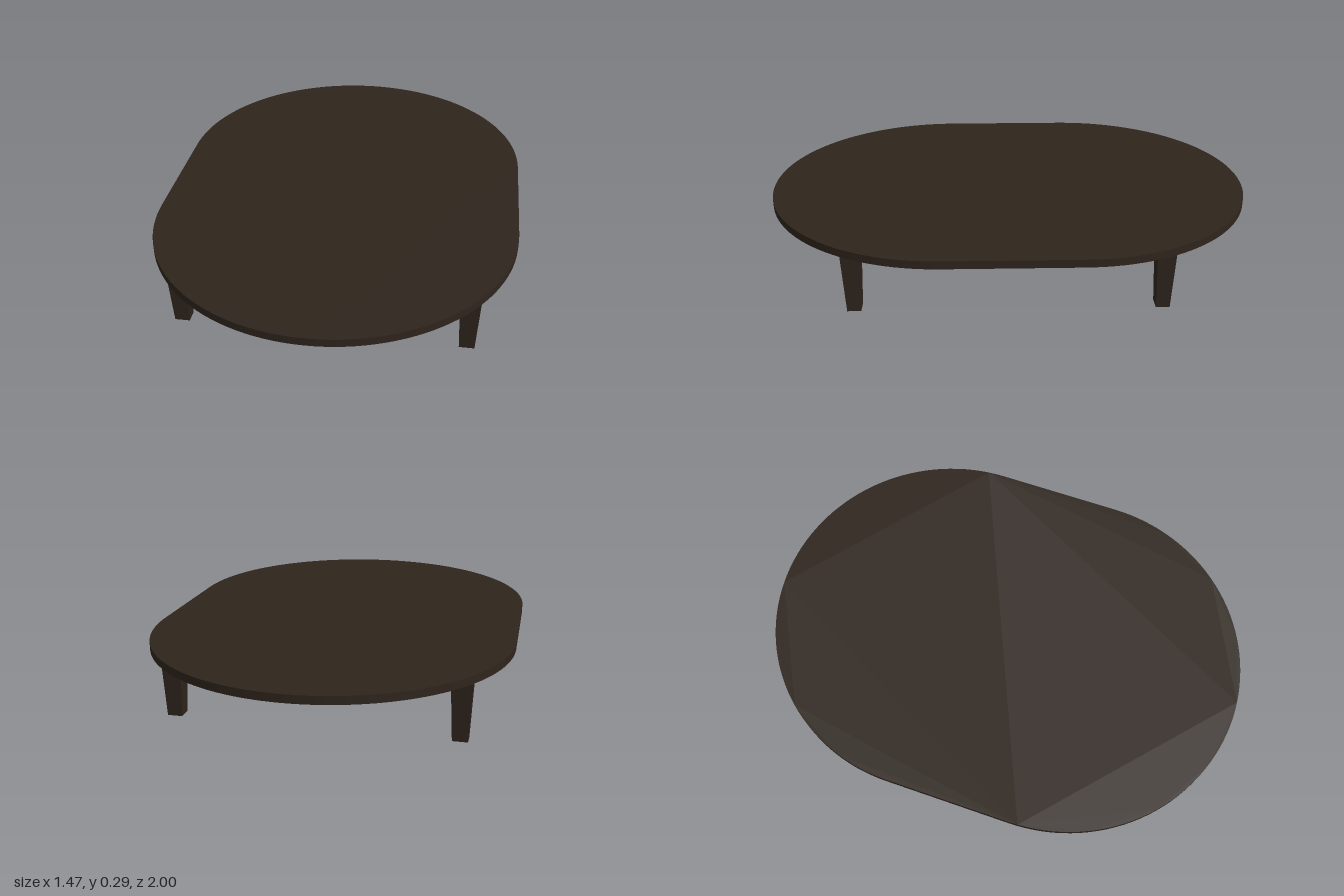
import * as THREE from 'three';

const wood = new THREE.MeshStandardMaterial({ color: 0x2e241c });

const HALF_WIDTH = 0.737, HALF_LENGTH = 1;
const TOP_Y = 0.29, THICKNESS = 0.032;
const UNDERSIDE = TOP_Y - THICKNESS;

// Flat slab with straight sides and a half-round at each end
function createTabletop() {
  const end = HALF_LENGTH - HALF_WIDTH;
  const outline = new THREE.Shape();
  outline.absarc(0, end, HALF_WIDTH, 0, Math.PI, false);
  outline.absarc(0, -end, HALF_WIDTH, Math.PI, Math.PI * 2, false);
  outline.closePath();
  const geometry = new THREE.ExtrudeGeometry(outline, {
    depth: THICKNESS, bevelEnabled: false, curveSegments: 32,
  });
  geometry.rotateX(-Math.PI / 2).translate(0, UNDERSIDE, 0);
  const top = new THREE.Mesh(geometry, wood);
  top.name = 'tabletop';
  return top;
}

// Rectangular leg narrowing evenly towards the floor
function createLegGeometry() {
  const taper = 0.72;
  const geometry = new THREE.BoxGeometry(0.083, UNDERSIDE, 0.075);
  geometry.translate(0, UNDERSIDE / 2, 0);
  const p = geometry.attributes.position;
  for (let i = 0; i < p.count; i++) {
    if (p.getY(i) < 0.01) {
      p.setX(i, p.getX(i) * taper);
      p.setZ(i, p.getZ(i) * taper);
    }
  }
  geometry.computeVertexNormals();
  return geometry;
}

export function createModel() {
  const table = new THREE.Group();
  table.name = 'lowTable';
  table.add(createTabletop());

  // Four legs, the rear pair set slightly further in
  const legGeometry = createLegGeometry();
  for (const [row, z] of [['front', 0.611], ['back', -0.586]]) {
    for (const [side, x] of [['Left', 0.563], ['Right', -0.563]]) {
      const leg = new THREE.Mesh(legGeometry, wood);
      leg.name = `${row}${side}Leg`;
      leg.position.set(x, 0, z);
      table.add(leg);
    }
  }
  return table;
}
